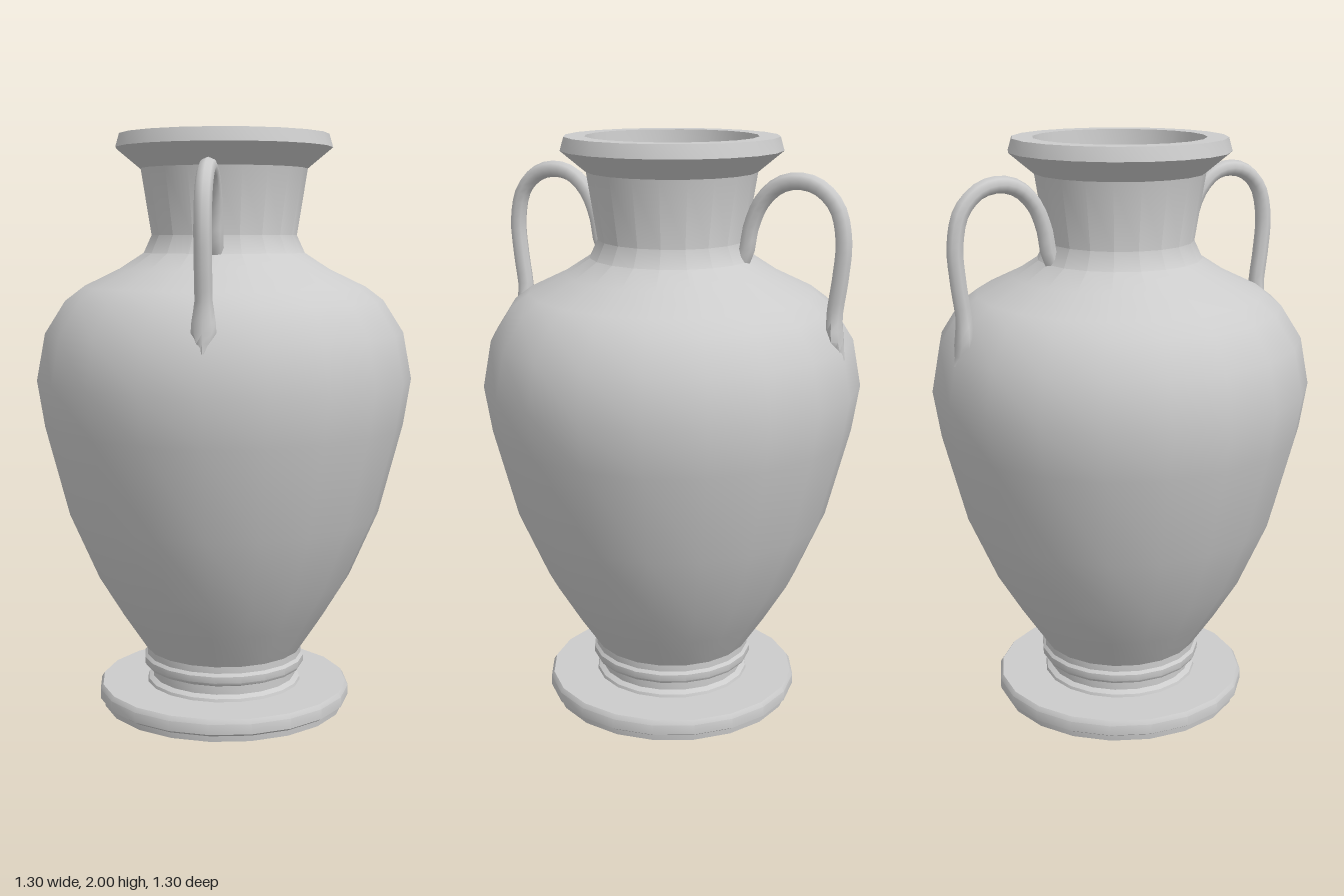
import * as THREE from 'three';
import { toCreasedNormals } from 'three/addons/utils/BufferGeometryUtils.js';

const SIDES = 20;
const material = new THREE.MeshStandardMaterial({ color: 0xcccccc });

// Turned part from [radius, height] pairs, listed up the outside then down the inside
function turned(name, profile) {
  const points = profile.map(([r, y]) => new THREE.Vector2(r, y));
  const geometry = toCreasedNormals(new THREE.LatheGeometry(points, SIDES), 0.6);
  const mesh = new THREE.Mesh(geometry, material);
  mesh.name = name;
  return mesh;
}

// Looped handle in the z-y plane, flaring into a leaf-shaped lower end
function handleGeometry() {
  const path = new THREE.CatmullRomCurve3([
    [0.25, 1.585], [0.275, 1.64], [0.287, 1.71], [0.325, 1.8], [0.385, 1.856], [0.45, 1.872],
    [0.52, 1.856], [0.583, 1.795], [0.609, 1.69], [0.602, 1.57], [0.587, 1.45], [0.59, 1.38], [0.6, 1.3],
  ].map(([z, y]) => new THREE.Vector3(0, y, z)));
  const geometry = new THREE.TubeGeometry(path, 32, 0.028, 8, false);
  const pos = geometry.attributes.position;
  for (let i = 0; i < pos.count; i++) {
    const y = pos.getY(i);
    if (pos.getZ(i) > 0.5 && y < 1.46) {
      const flare = y > 1.37 ? (1.46 - y) / 0.09 : Math.max(0, (y - 1.29) / 0.08);
      const base = y > 1.37 ? 1 : 0.3 + 0.7 * flare;
      pos.setX(i, pos.getX(i) * (base + 0.5 * flare));
    }
  }
  return toCreasedNormals(geometry, 0.9);
}

export function createModel() {
  const vase = new THREE.Group();
  vase.name = 'vase';

  // Round plinth and the stepped collar above it
  vase.add(turned('foot', [
    [0, 0], [0.43, 0], [0.432, 0.02], [0.447, 0.03], [0.447, 0.065], [0.437, 0.08],
    [0.275, 0.08], [0.272, 0.09], [0.255, 0.1], [0.255, 0.13], [0.28, 0.14],
    [0.286, 0.15], [0.286, 0.172], [0.277, 0.182], [0.277, 0.208], [0, 0.208],
  ]));

  // Hollow body, neck and lip
  vase.add(turned('body', [
    [0.277, 0.205], [0.36, 0.33], [0.445, 0.47], [0.545, 0.7], [0.625, 1.01], [0.65, 1.17],
    [0.62, 1.33], [0.55, 1.44], [0.49, 1.485], [0.365, 1.545], [0.28, 1.6], [0.252, 1.66],
    [0.288, 1.885], [0.373, 1.955], [0.36, 2], [0.29, 2], [0.278, 1.9], [0.24, 1.65],
    [0.26, 1.58], [0.48, 1.45], [0.6, 1.17], [0.5, 0.7], [0.4, 0.47], [0.26, 0.23], [0, 0.23],
  ]));

  // Front and back handles
  const geometry = handleGeometry();
  for (const [name, turn] of [['frontHandle', 0], ['backHandle', Math.PI]]) {
    const handle = new THREE.Mesh(geometry, material);
    handle.name = name;
    handle.rotation.y = turn;
    vase.add(handle);
  }
  return vase;
}
